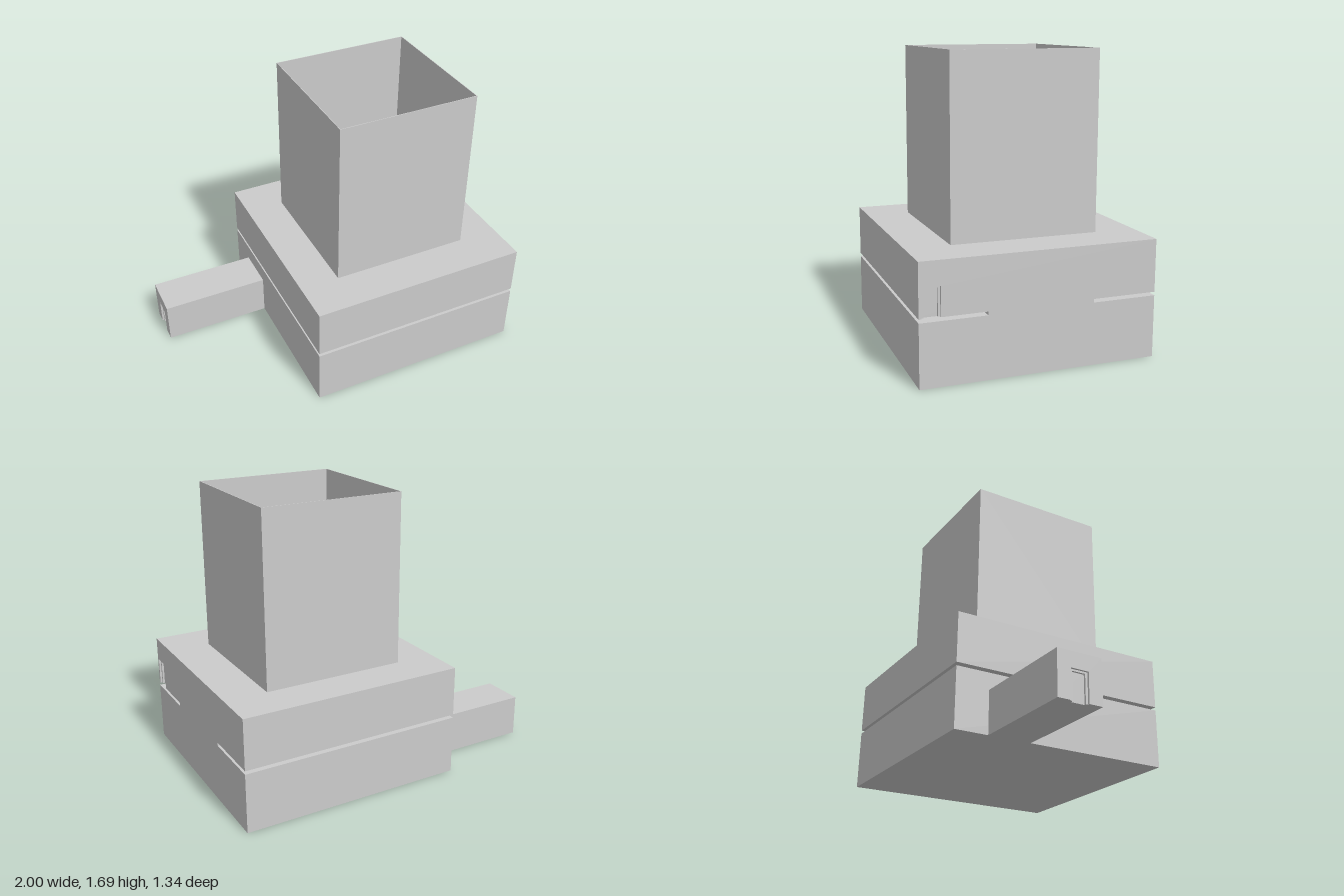
import * as THREE from 'three';

const material = new THREE.MeshStandardMaterial({ color: 0xcccccc, flatShading: true });

function add(parent, name, geometry) {
  const mesh = new THREE.Mesh(geometry, material);
  mesh.name = name;
  parent.add(mesh);
  return mesh;
}

// Box given by its limits on each axis
function block(parent, name, [x0, x1], [y0, y1], [z0, z1]) {
  const mesh = add(parent, name, new THREE.BoxGeometry(x1 - x0, y1 - y0, z1 - z0));
  mesh.position.set((x0 + x1) / 2, (y0 + y1) / 2, (z0 + z1) / 2);
  return mesh;
}

// Wall slab across z, with a doorway notched up from its lower edge
function doorSlab(parent, name, [x0, x1], [y0, y1], [z0, z1], [d0, d1], doorTop) {
  const points = [[z0, y0], [d0, y0], [d0, doorTop], [d1, doorTop], [d1, y0], [z1, y0], [z1, y1], [z0, y1]];
  // shape x runs along -z, so the extrusion runs along +x
  const shape = new THREE.Shape(points.map(([z, y]) => new THREE.Vector2(-z, y)));
  const geometry = new THREE.ExtrudeGeometry(shape, { depth: x1 - x0, bevelEnabled: false });
  geometry.rotateY(Math.PI / 2);
  geometry.translate(x0, 0, 0);
  add(parent, name, geometry);
}

export function createModel() {
  const model = new THREE.Group();
  model.name = 'building';
  const step = 0.012;

  // Lower storey
  block(model, 'lowerStorey', [-0.34, 1], [0, 0.352], [-0.67, 0.67]);

  // Set-back core leaving a ribbon slit, closed in the middle of the +x side
  block(model, 'slitCore', [-0.2, 0.88], [0.34, 0.385], [-0.51, 0.51]);
  block(model, 'slitSideWall', [0.8, 1], [0.34, 0.385], [-0.3, 0.3]);

  // Upper storey with a stepped doorway at the front end of the +x side
  const upper = new THREE.Group();
  upper.name = 'upperStorey';
  model.add(upper);
  const uy = [0.372, 0.67], uz = [-0.67, 0.67];
  block(upper, 'upperBody', [-0.34, 1 - 2 * step], uy, uz);
  doorSlab(upper, 'innerDoorFrame', [1 - 2 * step, 1 - step], uy, uz, [0.566, 0.642], 0.525);
  doorSlab(upper, 'outerDoorFrame', [1 - step, 1], uy, uz, [0.553, 0.655], 0.535);

  // Entrance wing with a doorway in its end
  const wing = new THREE.Group();
  wing.name = 'entranceWing';
  model.add(wing);
  const wy = [0, 0.253], wz = [-0.47, -0.21];
  block(wing, 'wingBody', [-1 + 2 * step, -0.34], wy, wz);
  doorSlab(wing, 'wingInnerFrame', [-1 + step, -1 + 2 * step], wy, wz, [-0.378, -0.302], 0.155);
  doorSlab(wing, 'wingOuterFrame', [-1, -1 + step], wy, wz, [-0.391, -0.289], 0.165);

  // Thin-walled tower, open at the top
  const tower = new THREE.Shape();
  const outline = (path, i) => {
    path.moveTo(-0.1 + i, -0.42 + i);
    path.lineTo(0.75 - i, -0.42 + i);
    path.lineTo(0.75 - i, 0.43 - i);
    path.lineTo(-0.1 + i, 0.43 - i);
    path.closePath();
    return path;
  };
  outline(tower, 0);
  tower.holes.push(outline(new THREE.Path(), 0.004));
  const walls = new THREE.ExtrudeGeometry(tower, { depth: 1.02, bevelEnabled: false });
  walls.rotateX(-Math.PI / 2);
  walls.translate(0, 0.668, 0);
  add(model, 'towerWalls', walls);

  // Stepped hatch in the corner of the tower floor
  [[0.02, 0.305], [-0.008, 0.335], [-0.02, 0.347]].forEach(([x, z], i) =>
    block(model, 'hatchStep' + (i + 1), [-0.098, x], [0.66, 0.68 + i * 0.01], [z, 0.418]));

  return model;
}
